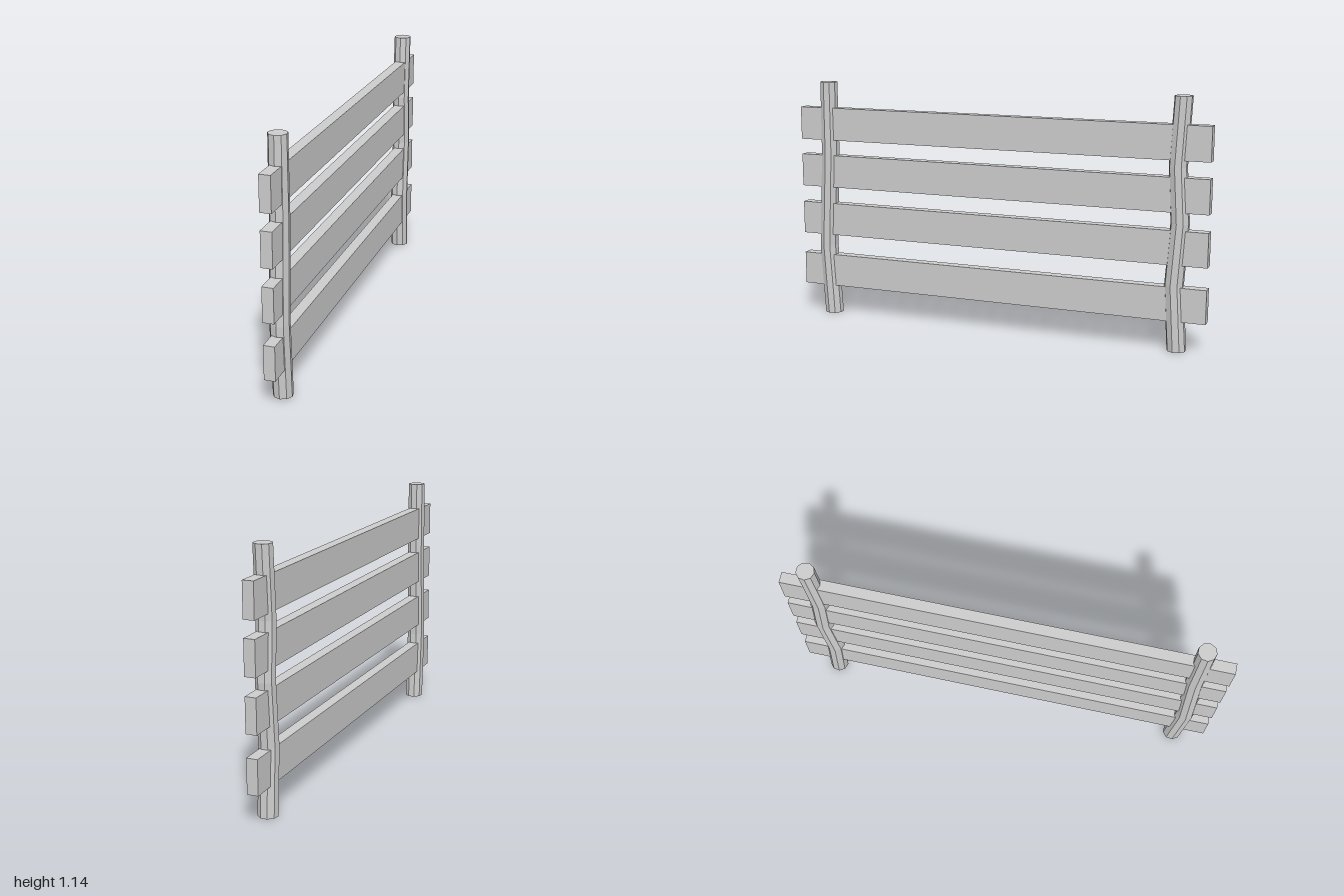
import * as THREE from 'three';

const SIDES = 9;

// Crooked post: a cylinder whose rings follow [y, z, radius] stations
function makePost(stations, material) {
  const geo = new THREE.CylinderGeometry(1, 1, 1, SIDES, stations.length - 1);
  const pos = geo.attributes.position;
  for (let i = 0; i < pos.count; i++) {
    const ring = Math.round((pos.getY(i) + 0.5) * (stations.length - 1));
    const [y, z, r] = stations[ring];
    pos.setXYZ(i, pos.getX(i) * r, y, pos.getZ(i) * r + z);
  }
  // Unshared vertices give each facet its own flat normal
  const flat = geo.toNonIndexed();
  flat.computeVertexNormals();
  return new THREE.Mesh(flat, material);
}

export function createModel() {
  const model = new THREE.Group();
  model.name = 'fence';

  const wood = new THREE.MeshStandardMaterial({ color: 0xcccccc });
  wood.name = 'pale grey wood';

  // Posts
  const posts = {
    frontPost: [[0, 0.858, 0.044], [0.34, 0.878, 0.044], [0.79, 0.857, 0.043], [1.14, 0.857, 0.041]],
    backPost: [[0, -0.868, 0.044], [0.3, -0.849, 0.044], [0.58, -0.868, 0.043], [0.83, -0.852, 0.042], [1.14, -0.868, 0.041]],
  };
  for (const [name, stations] of Object.entries(posts)) {
    const post = makePost(stations, wood);
    post.name = name;
    model.add(post);
  }

  // Horizontal rails running through both posts
  const railGeo = new THREE.BoxGeometry(0.05, 0.156, 2);
  [0.216, 0.472, 0.708, 0.938].forEach((y, i) => {
    const rail = new THREE.Mesh(railGeo, wood);
    rail.name = `rail${i + 1}`;
    rail.position.y = y;
    model.add(rail);
  });

  return model;
}
